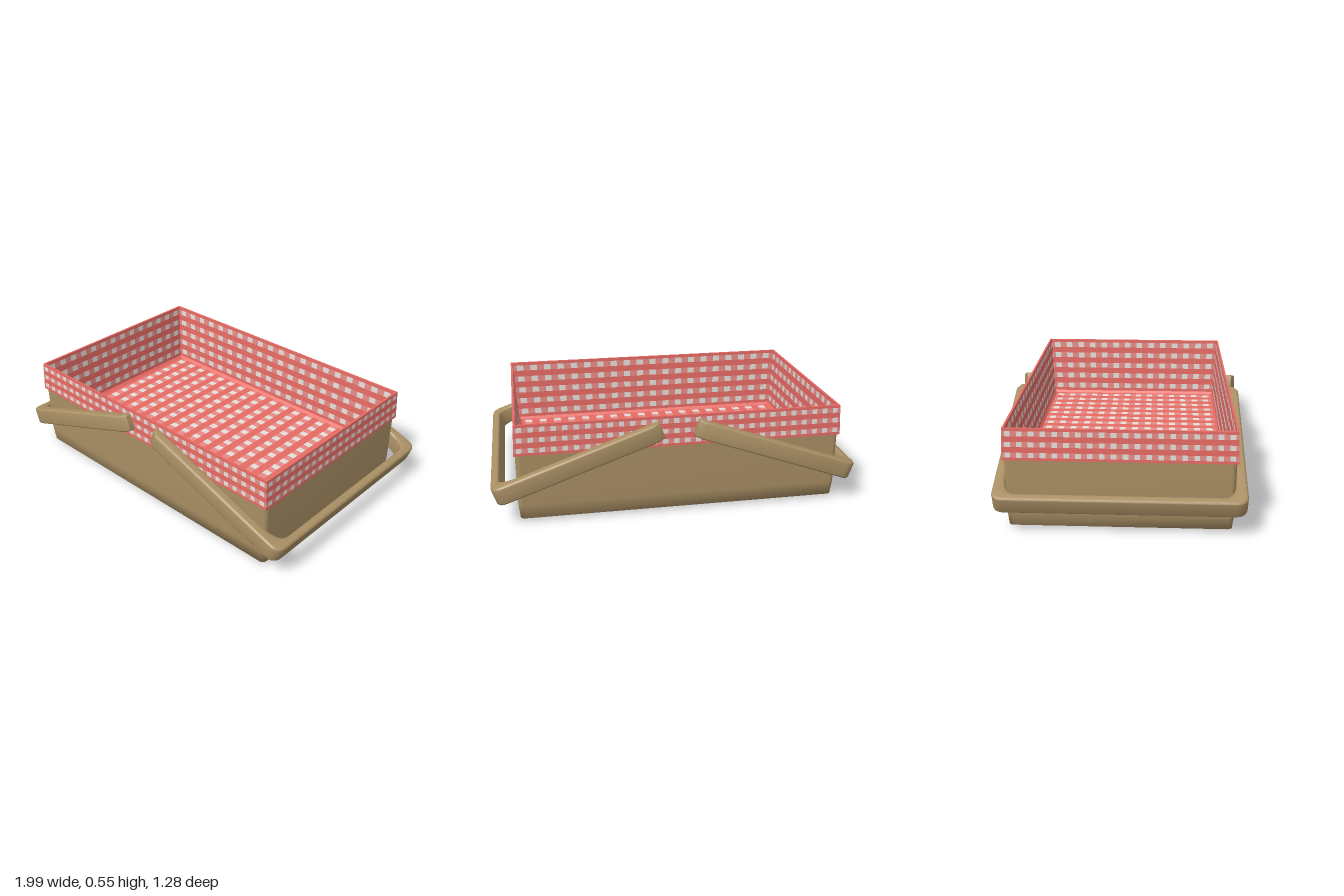
import * as THREE from 'three';
import { toCreasedNormals } from 'three/addons/utils/BufferGeometryUtils.js';

const mat = (name, color, side = THREE.FrontSide) => {
  const m = new THREE.MeshStandardMaterial({ color, side });
  m.name = name;
  return m;
};

// Corners of a level rectangle, counter-clockwise from above
const ring = (hx, hz, y) =>
  [[-hx, hz], [hx, hz], [hx, -hz], [-hx, -hz]].map(([x, z]) => new THREE.Vector3(x, y, z));

// Checked cloth between four corners: solid red bands along a-b, pale squares between them.
// The outermost stripes are half width; a count of zero gives plain red.
function gingham(a, b, c, d, nu, nv, materials) {
  const stripe = 0.52;
  const cut = (i, n) =>
    THREE.MathUtils.clamp((Math.floor(i / 2) + (i % 2 ? stripe : 0) - stripe / 2) / n, 0, 1);
  const at = (u, v) => a.clone().lerp(b, u).lerp(d.clone().lerp(c, u), v).toArray();
  const cells = [[], [], []];
  for (let i = 0; i < 2 * nu + 1; i++) {
    for (let j = 0; j < 2 * nv + 1; j++) {
      const u0 = cut(i, nu), u1 = cut(i + 1, nu), v0 = cut(j, nv), v1 = cut(j + 1, nv);
      const p = at(u0, v0), q = at(u1, v0), r = at(u1, v1), s = at(u0, v1);
      const colour = j % 2 === 0 ? 0 : 1 + (i % 2);
      cells[colour].push(...p, ...q, ...r, ...p, ...r, ...s);
    }
  }
  const geo = new THREE.BufferGeometry();
  let start = 0;
  cells.forEach((list, k) => {
    if (list.length) geo.addGroup(start, list.length / 3, k);
    start += list.length / 3;
  });
  geo.setAttribute('position', new THREE.Float32BufferAttribute(cells.flat(), 3));
  geo.computeVertexNormals();
  return new THREE.Mesh(geo, materials);
}

// Four cloth panels joining one rectangle to another
function clothRing(name, from, to, nx, nz, nv, materials) {
  const g = new THREE.Group();
  g.name = name;
  for (let k = 0; k < 4; k++) {
    const n = (k + 1) % 4;
    const panel = gingham(from[k], from[n], to[n], to[k], k % 2 ? nz : nx, nv, materials);
    panel.name = name + 'Panel';
    g.add(panel);
  }
  return g;
}

// Basket shell: rounded rectangles stacked in loops, closed below by a shallow dome
function shellGeometry() {
  const levels = [[0.002, 0.45], [0.008, 0.2], [0.012, 0.08], [0.019, 0.01],
    [0.1, 0.002], [0.385, 0], [0.54, 0.004]];
  const radius = 0.025, steps = 4, pos = [], index = [];
  const count = 4 * (steps + 1);
  for (const [y, inset] of levels) {
    for (let c = 0; c < 4; c++) {
      const sx = c === 0 || c === 3 ? 1 : -1, sz = c < 2 ? -1 : 1;
      for (let s = 0; s <= steps; s++) {
        const t = (c + s / steps) * Math.PI / 2;
        pos.push(sx * (0.88 - inset - radius) + radius * Math.cos(t), y,
          sz * (0.582 - inset - radius) - radius * Math.sin(t));
      }
    }
  }
  for (let l = 0; l < levels.length - 1; l++) {
    for (let k = 0; k < count; k++) {
      const a = l * count + k, b = l * count + (k + 1) % count;
      index.push(a, b, b + count, a, b + count, a + count);
    }
  }
  const centre = pos.length / 3;
  pos.push(0, 0, 0);
  for (let k = 0; k < count; k++) index.push(centre, (k + 1) % count, k);
  const geo = new THREE.BufferGeometry();
  geo.setAttribute('position', new THREE.Float32BufferAttribute(pos, 3));
  geo.setIndex(index);
  geo.computeVertexNormals();
  return geo;
}

// U-shaped handle lying flat, crossbar at x = 0 and arms along +x
function handleGeometry() {
  const bevel = 0.012, height = 0.1, length = 0.945;
  const o = 0.64 - bevel, i = 0.585 + bevel, x0 = bevel, x1 = 0.046 - bevel, end = length - bevel;
  const s = new THREE.Shape();
  s.moveTo(end - 0.03, -o);
  s.lineTo(end, -o + 0.018);
  s.lineTo(end, -i);
  s.lineTo(x1 + 0.15, -i);
  s.quadraticCurveTo(x1, -i, x1, -i + 0.08);
  s.lineTo(x1, i - 0.08);
  s.quadraticCurveTo(x1, i, x1 + 0.15, i);
  s.lineTo(end, i);
  s.lineTo(end, o - 0.018);
  s.lineTo(end - 0.03, o);
  s.lineTo(x0 + 0.05, o);
  s.quadraticCurveTo(x0, o, x0, o - 0.05);
  s.lineTo(x0, -o + 0.05);
  s.quadraticCurveTo(x0, -o, x0 + 0.05, -o);
  s.closePath();
  const geo = new THREE.ExtrudeGeometry(s, {
    depth: height - 2 * bevel, bevelEnabled: true, bevelSize: bevel,
    bevelThickness: bevel, bevelSegments: 3, curveSegments: 6,
  });
  geo.translate(0, 0, -height / 2 + bevel);
  geo.rotateX(-Math.PI / 2);
  return toCreasedNormals(geo, 0.8);
}

export function createModel() {
  const model = new THREE.Group();
  model.name = 'picnicBasket';
  const tan = mat('basketTan', 0xa98f64, THREE.DoubleSide);
  const cloth = [mat('clothRed', 0xea6c66), mat('clothSoftRed', 0xea8e88), mat('clothWhite', 0xe6deda)];

  // Body with its lining, set slightly to one side of the handles
  const body = new THREE.Group();
  body.name = 'body';
  body.position.x = -0.017;
  const shell = new THREE.Mesh(shellGeometry(), tan);
  shell.name = 'basketShell';
  body.add(shell);

  const hem = ring(0.887, 0.588, 0.385);
  const outerTop = ring(0.88, 0.582, 0.553);
  const innerTop = ring(0.868, 0.571, 0.553);
  const liningFoot = ring(0.849, 0.554, 0.19);
  const floor = ring(0.835, 0.54, 0.176);
  body.add(clothRing('clothOverhang', hem, outerTop, 30, 20, 3, cloth));
  body.add(clothRing('clothRim', outerTop, innerTop, 0, 0, 0, cloth));
  body.add(clothRing('clothLining', innerTop, liningFoot, 20, 14, 5, cloth));
  body.add(clothRing('clothFold', liningFoot, floor, 0, 0, 0, cloth));
  const clothFloor = gingham(floor[1], floor[2], floor[3], floor[0], 14, 18, cloth);
  clothFloor.name = 'clothFloor';
  body.add(clothFloor);
  model.add(body);

  // Pair of folded-out handles
  const handleGeo = handleGeometry();
  for (const [name, turn] of [['rightHandle', 0], ['leftHandle', Math.PI]]) {
    const side = new THREE.Group();
    side.name = name;
    side.rotation.y = turn;
    const bar = new THREE.Mesh(handleGeo, tan);
    bar.name = name + 'Bar';
    bar.position.set(-0.984, 0.17, 0);
    bar.rotation.z = 0.343;
    side.add(bar);
    model.add(side);
  }
  return model;
}
